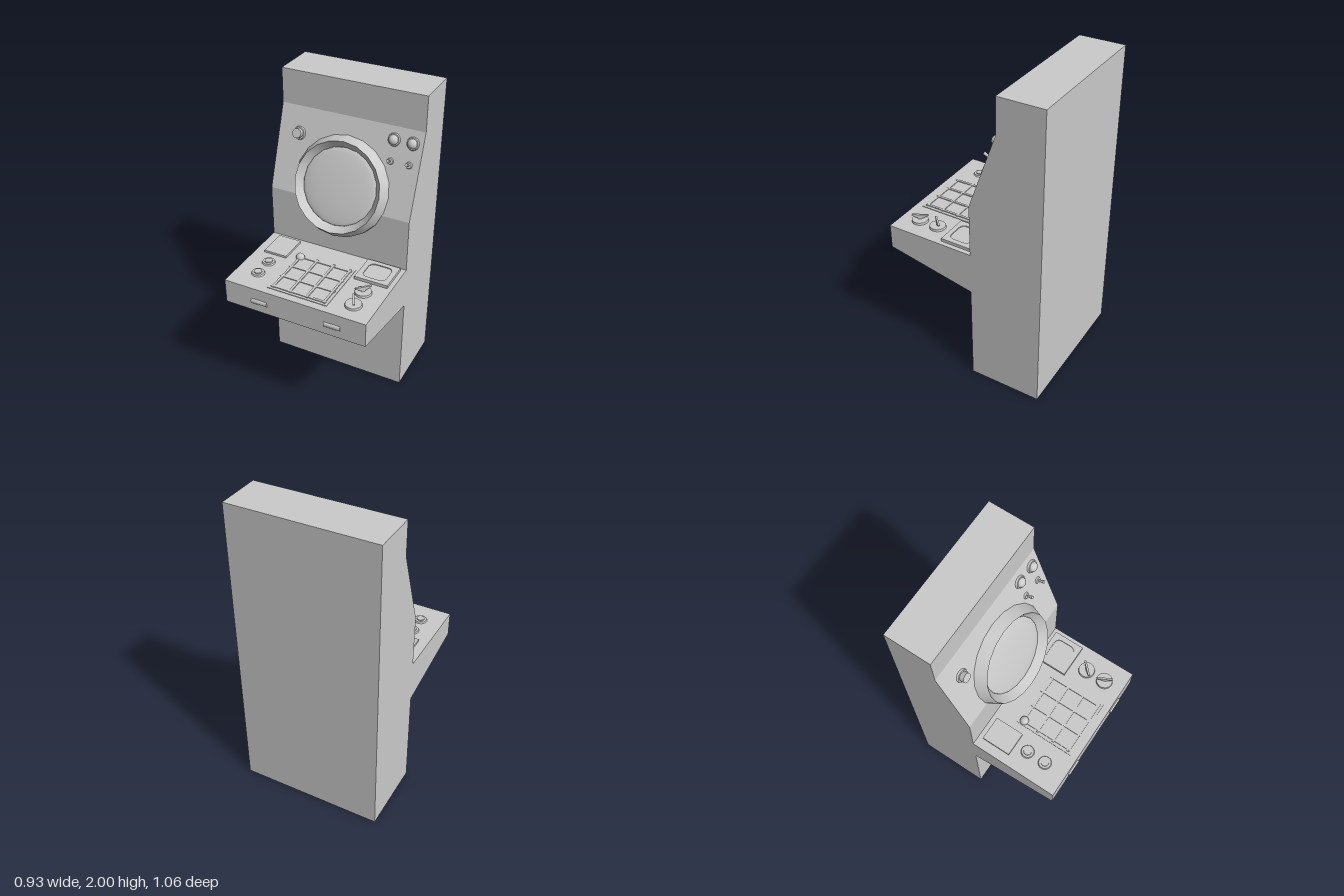
import * as THREE from 'three';

const material = new THREE.MeshStandardMaterial({ color: 0xcccccc, side: THREE.DoubleSide });
const flatMaterial = new THREE.MeshStandardMaterial({ color: 0xcccccc, side: THREE.DoubleSide, flatShading: true });

function add(parent, name, geometry, x = 0, y = 0, z = 0, mat = material) {
  const mesh = new THREE.Mesh(geometry, mat);
  mesh.name = name;
  mesh.position.set(x, y, z);
  parent.add(mesh);
  return mesh;
}

// Round part standing on y = 0, or on z = 0 when it faces the front.
function round(rBottom, rTop, h, sides = 20, open = false, facing = false) {
  const g = new THREE.CylinderGeometry(rTop, rBottom, h, sides, 1, open).translate(0, h / 2, 0);
  return facing ? g.rotateX(Math.PI / 2) : g;
}

// Shallow dome standing on y = 0.
function dome(r, h) {
  return new THREE.SphereGeometry(1, 20, 8, 0, Math.PI * 2, 0, Math.PI / 2).scale(r, h, r);
}

function roundedRect(w, h, r) {
  const a = w / 2 - r, b = h / 2 - r;
  const p = new THREE.Path();
  p.absarc(a, b, r, 0, Math.PI / 2);
  p.absarc(-a, b, r, Math.PI / 2, Math.PI);
  p.absarc(-a, -b, r, Math.PI, Math.PI * 1.5);
  p.absarc(a, -b, r, Math.PI * 1.5, Math.PI * 2);
  p.closePath();
  return p;
}

// Cabinet shell: side profile extruded across the width, open at the floor.
function cabinetGeometry() {
  const profile = [[-0.53, 0], [-0.06, 0], [-0.06, 0.66], [0.52, 0.775], [0.52, 0.935],
    [-0.06, 0.935], [-0.06, 1.275], [-0.24, 1.78], [-0.24, 2], [-0.53, 2]];
  const shape = new THREE.Shape(profile.map(([z, y]) => new THREE.Vector2(-z, y)));
  const g = new THREE.ExtrudeGeometry(shape, { depth: 0.93, bevelEnabled: false });
  g.translate(0, 0, -0.465).rotateY(Math.PI / 2);
  const p = g.attributes.position, kept = [];
  for (let i = 0; i < p.count; i += 3) {
    if (Math.max(p.getY(i), p.getY(i + 1), p.getY(i + 2)) < 0.001) continue;
    for (let k = i; k < i + 3; k++) kept.push(p.getX(k), p.getY(k), p.getZ(k));
  }
  const shell = new THREE.BufferGeometry();
  shell.setAttribute('position', new THREE.Float32BufferAttribute(kept, 3));
  shell.computeVertexNormals();
  return shell;
}

// Round screen and the controls around it, on the sloped panel.
function buildScreenPanel() {
  const panel = new THREE.Group();
  panel.name = 'screenPanel';
  panel.position.set(0, 1.381, -0.098);
  panel.rotation.x = -0.343;

  add(panel, 'bezelBase', round(0.312, 0.312, 0.065, 20, true, true), 0, 0, -0.065);
  add(panel, 'bezelOuter', round(0.312, 0.28, 0.07, 20, true, true));
  add(panel, 'bezelInner', round(0.24, 0.28, 0.05, 20, true, true), 0, 0, 0.02);
  add(panel, 'screen', dome(0.242, 0.02).rotateX(Math.PI / 2), 0, 0, 0.02);

  add(panel, 'buttonCollar', round(0.042, 0.038, 0.012, 16, false, true), -0.325, 0.26, 0);
  add(panel, 'buttonCap', round(0.03, 0.03, 0.04, 12, false, true), -0.325, 0.26, 0);
  for (const x of [0.283, 0.4]) {
    add(panel, 'lampCollar', round(0.04, 0.036, 0.012, 20, false, true), x, 0.344, 0);
    add(panel, 'lamp', dome(0.03, 0.026).rotateX(Math.PI / 2), x, 0.344, 0.01);
    add(panel, 'toggleCollar', round(0.021, 0.017, 0.01, 12, false, true), x, 0.217, 0);
    const lever = add(panel, 'toggleLever', round(0.005, 0.01, 0.045, 10, false, true), x, 0.217, 0.005);
    lever.rotation.x = -0.15;
  }
  return panel;
}

// Controls lying on the desk; y = 0 is the desk top.
function buildDeskControls() {
  const desk = new THREE.Group();
  desk.name = 'deskControls';
  desk.position.y = 0.935;

  // Left plate, and right plate with a recessed rounded display.
  add(desk, 'leftPlate', new THREE.BoxGeometry(0.154, 0.014, 0.19), -0.327, 0.007, 0.065);
  const frame = new THREE.Shape([[-1, -1], [1, -1], [1, 1], [-1, 1]]
    .map(([x, y]) => new THREE.Vector2(x * 0.108, y * 0.1)));
  frame.holes.push(roundedRect(0.15, 0.14, 0.035));
  const frameGeometry = new THREE.ExtrudeGeometry(frame, { depth: 0.02, bevelEnabled: false, curveSegments: 5 });
  add(desk, 'displayFrame', frameGeometry.rotateX(-Math.PI / 2), 0.328, 0, 0.062);
  add(desk, 'display', new THREE.BoxGeometry(0.16, 0.014, 0.15), 0.328, 0.007, 0.062);

  // Square grid with a ball on its far left crossing.
  add(desk, 'gridPanel', new THREE.BoxGeometry(0.393, 0.004, 0.39), -0.003, 0.002, 0.277);
  for (let i = 0; i < 4; i++) {
    add(desk, 'gridBarLong', new THREE.BoxGeometry(0.015, 0.01, 0.361), -0.171 + i * 0.1127, 0.005, 0.2775);
    add(desk, 'gridBarCross', new THREE.BoxGeometry(0.366, 0.009, 0.015), -0.004, 0.0045, 0.113 + i * 0.1115);
  }
  add(desk, 'ball', new THREE.SphereGeometry(0.028, 16, 12), -0.17, 0.008, 0.119);

  // Push buttons on the left.
  for (const z of [0.245, 0.37]) {
    add(desk, 'pushButtonRing', round(0.042, 0.038, 0.01), -0.323, 0, z);
    add(desk, 'pushButton', round(0.026, 0.024, 0.017), -0.323, 0, z);
  }

  // Turning knobs on the right, each with a flared grip.
  const grip = new THREE.Shape([[-0.008, 0], [0.008, 0], [0.012, 0.02], [0.052, 0.04], [0.05, 0.046],
    [-0.05, 0.046], [-0.052, 0.04], [-0.012, 0.02]].map(([x, y]) => new THREE.Vector2(x, y)));
  const gripGeometry = new THREE.ExtrudeGeometry(grip, { depth: 0.012, bevelEnabled: false }).translate(0, 0, -0.006);
  for (const [z, turn] of [[0.262, 0.78], [0.393, -1.1]]) {
    add(desk, 'knobBase', round(0.052, 0.05, 0.014, 24), 0.327, 0, z);
    add(desk, 'knobGrip', gripGeometry, 0.327, 0, z, flatMaterial).rotation.y = turn;
  }
  return desk;
}

export function createModel() {
  const model = new THREE.Group();
  model.name = 'controlCabinet';
  add(model, 'cabinet', cabinetGeometry(), 0, 0, 0, flatMaterial);
  model.add(buildScreenPanel(), buildDeskControls());

  // Small pulls on the desk front.
  for (const x of [-0.231, 0.253]) {
    const pull = new THREE.CylinderGeometry(0.016, 0.016, 0.105, 12).rotateZ(Math.PI / 2).scale(1, 1, 0.65);
    add(model, 'deskPull', pull, x, 0.845, 0.52);
  }
  return model;
}
